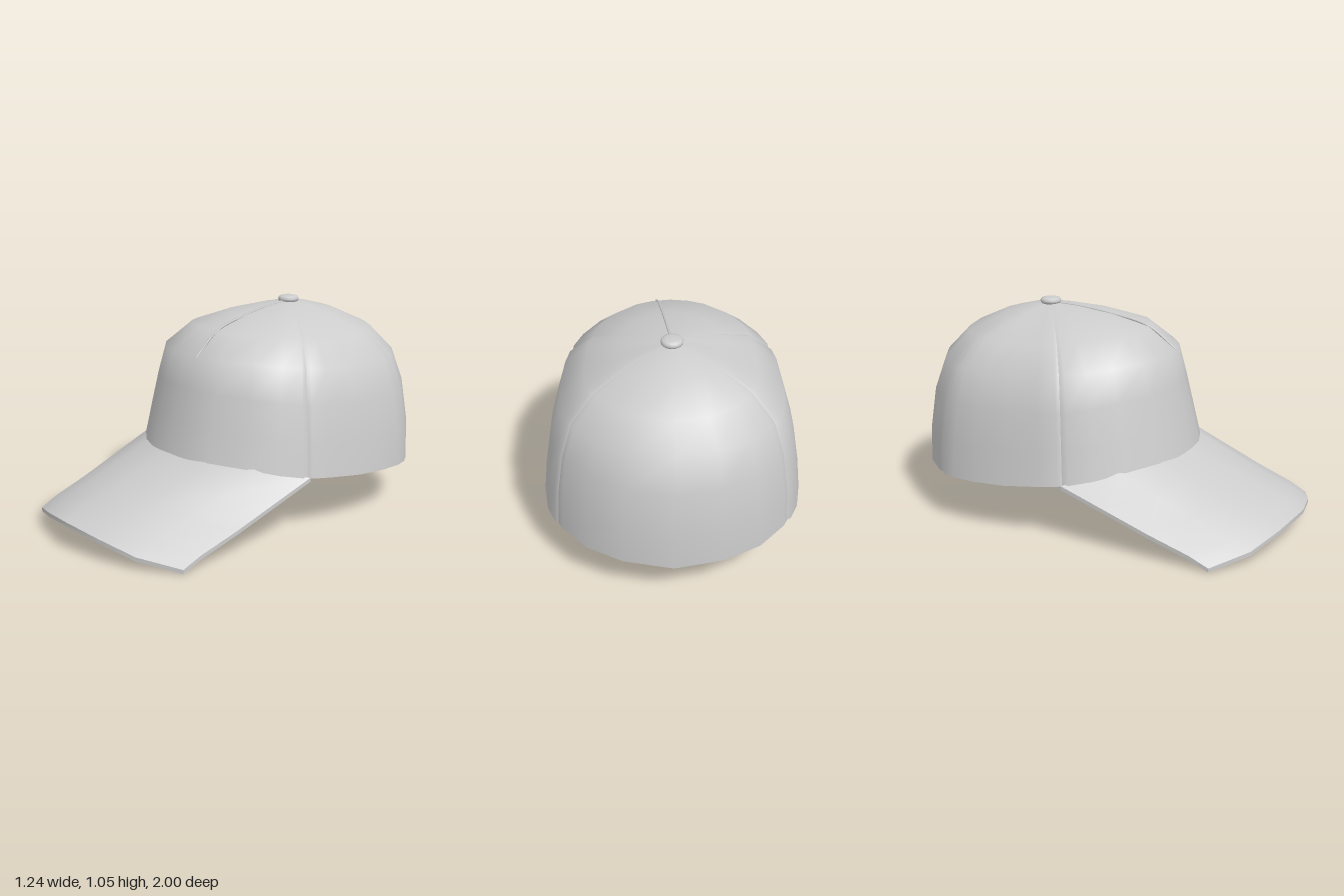
import * as THREE from 'three';
import { toCreasedNormals } from 'three/addons/utils/BufferGeometryUtils.js';

const material = new THREE.MeshStandardMaterial({ color: 0xcccccc, side: THREE.DoubleSide });
const APEX_Y = 1.025, APEX_Z = -0.37;
const lerp = THREE.MathUtils.lerp;

// Crown profiles from rim to apex: [share of rim radius, share of height]
const FRONT = [[1, 0], [0.95, 0.24], [0.9, 0.48], [0.85, 0.71], [0.67, 0.87], [0.42, 0.945], [0.19, 0.985], [0, 1]];
const SIDE = [[1, 0], [0.965, 0.22], [0.92, 0.45], [0.84, 0.67], [0.645, 0.83], [0.39, 0.925], [0.18, 0.98], [0, 1]];
const BACK = [[1, 0], [1, 0.22], [0.95, 0.49], [0.855, 0.69], [0.67, 0.84], [0.39, 0.94], [0.18, 0.985], [0, 1]];

// Rim outline of each panel, x y z, on the +x half
const frontHalf = [[0, 0.355, 0.415], [0.13, 0.355, 0.4], [0.25, 0.35, 0.36], [0.41, 0.34, 0.25], [0.51, 0.31, 0.13], [0.575, 0.285, 0]];
const sidePath = [[0.575, 0.285, 0], [0.605, 0.275, -0.12], [0.62, 0.255, -0.3], [0.617, 0.245, -0.46], [0.595, 0.238, -0.6], [0.55, 0.232, -0.7]];
const backHalf = [[0.55, 0.232, -0.7], [0.4, 0.224, -0.86], [0.23, 0.22, -0.95], [0, 0.22, -1]];

const mirror = (path) => path.map(([x, y, z]) => [-x, y, z]).reverse();

// Surface through a grid of points, columns[i][j]
function gridGeometry(columns) {
  const rows = columns[0].length, index = [];
  for (let i = 0; i < columns.length - 1; i++) {
    for (let j = 0; j < rows - 1; j++) {
      const a = i * rows + j, b = a + rows;
      index.push(a, b, b + 1, a, b + 1, a + 1);
    }
  }
  const geometry = new THREE.BufferGeometry();
  geometry.setAttribute('position', new THREE.Float32BufferAttribute(columns.flat(2), 3));
  geometry.setIndex(index);
  geometry.computeVertexNormals();
  return geometry;
}

// Line from a rim point up to the apex
function meridian([x, y, z], spread = 1, rise = 1) {
  const toBack = z < -0.3;
  const other = toBack ? BACK : FRONT;
  const w = toBack ? (-0.3 - z) / 0.7 : (z + 0.3) / 0.715;
  return SIDE.map(([r, h], j) => {
    const s = lerp(r, other[j][0], w) * spread, t = lerp(h, other[j][1], w) * rise;
    return [x * s, lerp(y, APEX_Y, t), lerp(APEX_Z, z, s)];
  });
}

// Sink both panel edges so that neighbours meet in a groove
function withSeams(path) {
  const mix = (a, b, t) => a.map((v, k) => lerp(v, b[k], t));
  const sink = ([x, y, z]) => [x * 0.98, y, lerp(APEX_Z, z, 0.98)];
  const n = path.length - 1;
  return [sink(path[0]), mix(path[0], path[1], 0.2), ...path.slice(1, n),
    mix(path[n], path[n - 1], 0.2), sink(path[n])];
}

function createBrim() {
  const inner = [[0.575, 0.288, -0.01], [0.43, 0.343, 0.225], [0.24, 0.36, 0.355], [0, 0.365, 0.4]];
  const outer = [[0.575, 0.022, 0.745], [0.41, 0.065, 0.885], [0.22, 0.11, 0.957], [0, 0.14, 1]];
  const full = (p) => [...p, ...mirror(p.slice(0, -1))];
  const a = full(inner), b = full(outer), steps = [0, 0.3, 0.6, 0.87, 1];
  const section = (i, top, bottom) => {
    const row = (drop) => steps.map((t) => [
      lerp(a[i][0], b[i][0], t),
      lerp(a[i][1], b[i][1], t) - drop + (t === 0.87 ? 0.008 : 0),
      lerp(a[i][2], b[i][2], t)]);
    return [...row(top), ...row(bottom).reverse()];
  };
  // The first and last sections close the side edges
  const columns = a.map((_, i) => section(i, 0, 0.02));
  columns.unshift(section(0, 0.01, 0.01));
  columns.push(section(a.length - 1, 0.01, 0.01));
  return toCreasedNormals(gridGeometry(columns), 0.7);
}

export function createModel() {
  const cap = new THREE.Group();
  cap.name = 'cap';
  const add = (name, geometry) => {
    const mesh = new THREE.Mesh(geometry, material);
    mesh.name = name;
    cap.add(mesh);
    return mesh;
  };

  // Crown panels
  const panels = {
    frontPanel: [...mirror(frontHalf.slice(1)), ...frontHalf],
    leftPanel: sidePath,
    backPanel: [...backHalf, ...mirror(backHalf.slice(0, -1))],
    rightPanel: mirror(sidePath),
  };
  const ring = [];
  for (const [name, path] of Object.entries(panels)) {
    const seamed = withSeams(path);
    ring.push(...seamed);
    add(name, gridGeometry(seamed.map((p) => meridian(p))));
  }

  // Inner lining, joined to the panels by the rim
  const lining = ring.map((p) => [p, ...meridian(p, 0.968, 0.975)]).reverse();
  add('lining', toCreasedNormals(gridGeometry(lining), 0.8));

  // Short stitched fold on the front panel
  const fold = meridian([0.095, 0.355, 0.404]).slice(3).map((p) => new THREE.Vector3(...p));
  add('frontFold', new THREE.TubeGeometry(new THREE.CatmullRomCurve3(fold), 24, 0.006, 6));

  // Brim
  add('brim', createBrim());

  // Button on the apex
  const profile = [[0, 1.012], [0.04, 1.014], [0.051, 1.024], [0.053, 1.034], [0.047, 1.045], [0.03, 1.05], [0, 1.051]];
  const button = new THREE.LatheGeometry(profile.map(([r, y]) => new THREE.Vector2(r, y)), 20);
  add('button', button).position.z = APEX_Z;

  return cap;
}
